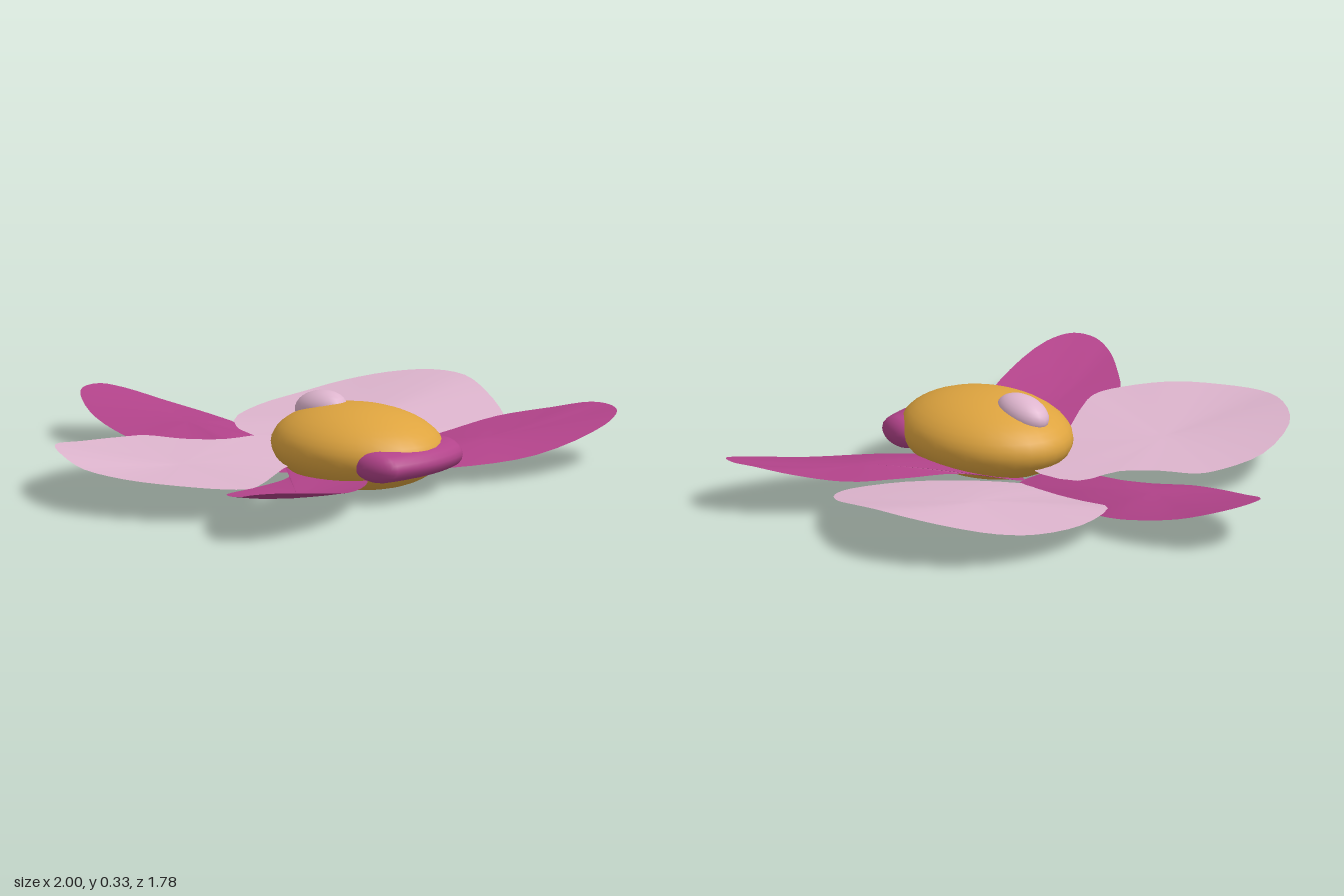
import * as THREE from 'three';

const mat = (name, color, side = THREE.FrontSide) => {
  const m = new THREE.MeshStandardMaterial({ color, side });
  m.name = name;
  return m;
};

// Curved petal: rings spread from a centre point out to a smooth closed rim.
// The rim runs clockwise seen from above.
function petalGeometry(centre, rim, power = 1.5, rings = 8, segs = 48) {
  const c = new THREE.Vector3(...centre);
  const curve = new THREE.CatmullRomCurve3(rim.map(p => new THREE.Vector3(...p)), true, 'centripetal');
  const pos = [c.x, c.y, c.z], index = [];
  for (let r = 1; r <= rings; r++) {
    const s = r / rings;
    for (let i = 0; i < segs; i++) {
      const p = curve.getPoint(i / segs);
      pos.push(c.x + (p.x - c.x) * s, c.y + (p.y - c.y) * s ** power, c.z + (p.z - c.z) * s);
    }
  }
  const id = (r, i) => r === 0 ? 0 : 1 + (r - 1) * segs + i % segs;
  for (let r = 0; r < rings; r++) {
    for (let i = 0; i < segs; i++) {
      index.push(id(r, i), id(r + 1, i + 1), id(r + 1, i));
      if (r > 0) index.push(id(r, i), id(r, i + 1), id(r + 1, i + 1));
    }
  }
  const g = new THREE.BufferGeometry();
  g.setAttribute('position', new THREE.Float32BufferAttribute(pos, 3));
  g.setIndex(index);
  g.computeVertexNormals();
  return g;
}

const mirror = rim => rim.map(([x, y, z]) => [-x, y, z]).reverse();

export function createModel() {
  const flower = new THREE.Group();
  flower.name = 'flower';
  const pale = mat('pale pink', 0xdeb5ce, THREE.DoubleSide);
  const magenta = mat('magenta', 0xb2438a, THREE.DoubleSide);
  const gold = mat('gold', 0xdea43f);

  const add = (name, geometry, material) => {
    const mesh = new THREE.Mesh(geometry, material);
    mesh.name = name;
    flower.add(mesh);
    return mesh;
  };

  // Rear sepal: arched across, tip curling up
  const half = [
    [0.05, 0.178, -0.89], [0.12, 0.158, -0.83], [0.19, 0.12, -0.7], [0.24, 0.085, -0.5],
    [0.24, 0.07, -0.38], [0.2, 0.05, -0.22], [0.16, 0.035, -0.03], [0.11, 0.03, 0.17],
  ];
  add('rearSepal', petalGeometry([0, 0.115, -0.42], [...half, ...mirror(half)]), magenta);

  // Pair of front sepals: one outline, the left arched and the right tilted up at its front edge
  const outline = [
    [0.08, 0.15], [0.26, 0.31], [0.5, 0.375], [0.74, 0.44], [0.88, 0.58], [0.96, 0.7],
    [0.975, 0.78], [0.94, 0.85], [0.83, 0.885], [0.52, 0.83], [0.23, 0.67], [0.05, 0.45],
  ];
  const leftHeights = [0.045, 0.08, 0.107, 0.14, 0.17, 0.195, 0.195, 0.187, 0.157, 0.09, 0.067, 0.055];
  const rightHeights = [0.045, 0.06, 0.075, 0.1, 0.135, 0.165, 0.187, 0.197, 0.185, 0.125, 0.09, 0.06];
  const rimAt = heights => outline.map(([x, z], i) => [x, heights[i], z]);
  add('leftFrontSepal', petalGeometry([0.52, 0.12, 0.58], rimAt(leftHeights)), magenta);
  add('rightFrontSepal', petalGeometry([-0.52, 0.082, 0.58], mirror(rimAt(rightHeights))), magenta);

  // Broad side petals, each with its own outline; the left base tucks under the rear sepal
  add('leftPetal', petalGeometry([0.5, 0.108, 0], [
    [0.12, 0.06, -0.22], [0.2, 0.09, -0.37], [0.43, 0.1, -0.45], [0.65, 0.115, -0.43], [0.8, 0.14, -0.37],
    [0.92, 0.17, -0.25], [0.99, 0.19, -0.1], [1, 0.19, 0.05], [0.95, 0.16, 0.2], [0.85, 0.11, 0.38],
    [0.73, 0.075, 0.5], [0.6, 0.055, 0.54], [0.4, 0.052, 0.45], [0.2, 0.045, 0.28],
    [0.05, 0.03, 0.1], [0.05, 0.035, -0.08],
  ], 1.3), pale);
  add('rightPetal', petalGeometry([-0.5, 0.105, 0], [
    [0.06, 0.09, 0.15], [-0.27, 0.09, 0.29], [-0.6, 0.112, 0.47], [-0.68, 0.115, 0.49], [-0.76, 0.122, 0.46],
    [-0.9, 0.14, 0.33], [-0.98, 0.15, 0.15], [-1, 0.163, -0.03], [-0.93, 0.178, -0.2], [-0.78, 0.17, -0.37],
    [-0.55, 0.13, -0.45], [-0.35, 0.115, -0.43], [-0.26, 0.112, -0.39], [-0.2, 0.108, -0.26],
    [-0.1, 0.106, -0.15], [0.07, 0.1, -0.1],
  ], 1.3), pale);

  // Golden heart
  const heart = add('heart', new THREE.SphereGeometry(1, 32, 20), gold);
  heart.scale.set(0.277, 0.152, 0.35);
  heart.position.set(0, 0.152, 0.418);

  // Small pale bud on the heart
  const bud = add('bud', new THREE.SphereGeometry(1, 20, 14), pale);
  bud.scale.set(0.074, 0.064, 0.113);
  bud.position.set(0, 0.268, 0.237);
  bud.rotation.x = -0.18;

  // Rounded front lip, bowed backwards towards its ends
  const lip = new THREE.CapsuleGeometry(0.058, 0.35, 8, 20, 8);
  lip.rotateZ(Math.PI / 2);
  const p = lip.attributes.position;
  for (let i = 0; i < p.count; i++) p.setZ(i, p.getZ(i) * 1.7 - 0.9 * p.getX(i) ** 2);
  lip.computeVertexNormals();
  add('lip', lip, magenta).position.set(0, 0.138, 0.7);

  return flower;
}
